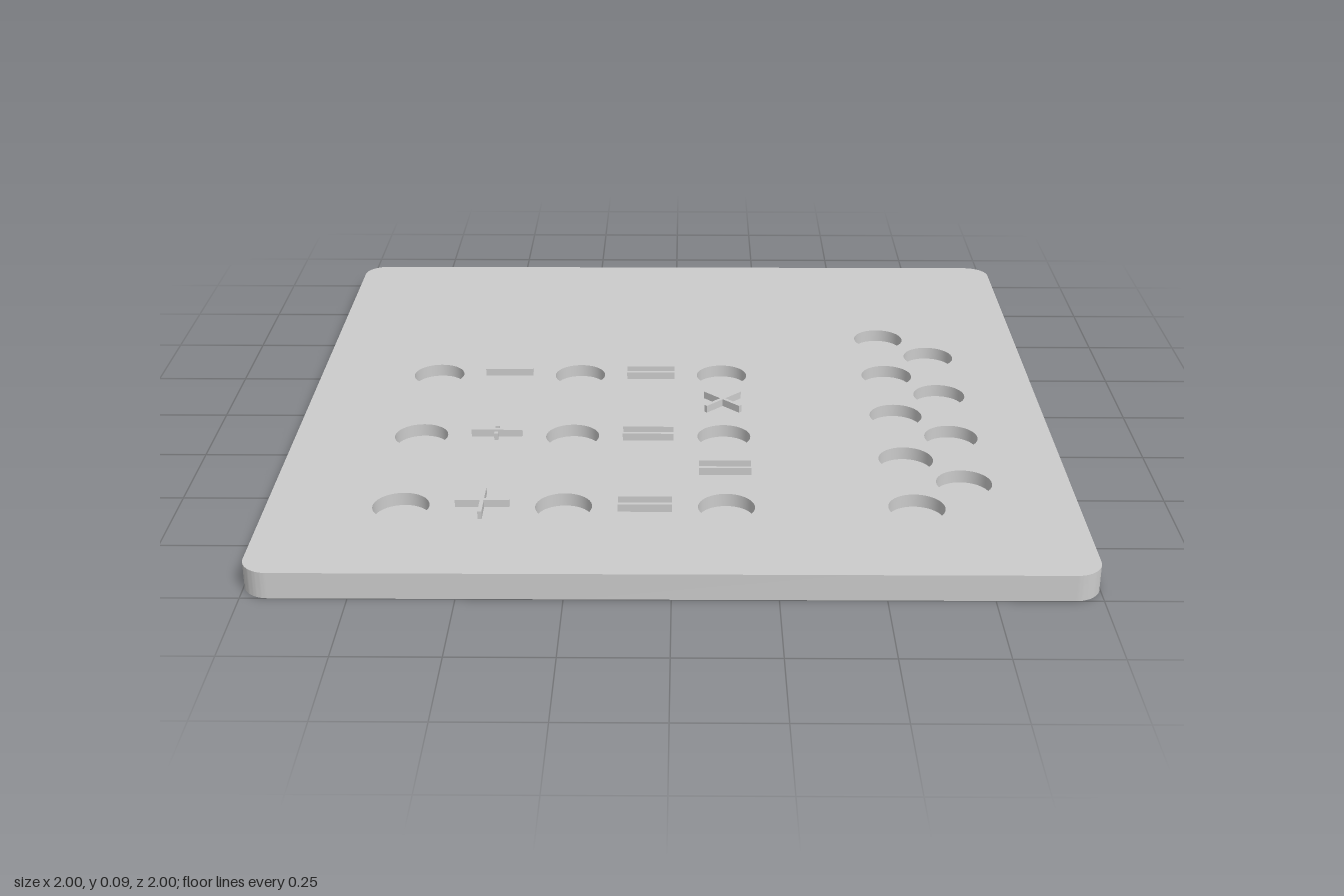
import * as THREE from 'three';
import { toCreasedNormals } from 'three/addons/utils/BufferGeometryUtils.js';

const TOP = 0.067;      // board thickness
const FLOOR = 0.033;    // height of the pocket floors
const RADIUS = 0.07;    // pocket radius
const BAR = { length: 0.133, width: 0.01, height: 0.02 };

const ROWS = [-0.133, 0.267, 0.667];
const POCKETS = [
  ...ROWS.flatMap((z) => [-0.667, -0.267, 0.133].map((x) => [x, z])),
  ...[-0.4, -0.133, 0.133, 0.4, 0.667].map((z) => [0.6, z]),
  ...[-0.267, 0, 0.267, 0.533].map((z) => [0.733, z]),
];

const material = new THREE.MeshStandardMaterial({ color: 0xcccccc });
const insideMaterial = new THREE.MeshStandardMaterial({ color: 0xcccccc, side: THREE.BackSide });

function addMesh(parent, name, geometry, x = 0, y = 0, z = 0, mat = material) {
  const mesh = new THREE.Mesh(geometry, mat);
  mesh.name = name;
  mesh.position.set(x, y, z);
  parent.add(mesh);
  return mesh;
}

// Square outline with rounded corners, counter-clockwise
function boardOutline(r = 0.067) {
  const s = new THREE.Shape();
  const c = 1 - r;
  s.moveTo(-c, -1);
  s.absarc(c, -c, r, -Math.PI / 2, 0);
  s.absarc(c, c, r, 0, Math.PI / 2);
  s.absarc(-c, c, r, Math.PI / 2, Math.PI);
  s.absarc(-c, -c, r, Math.PI, Math.PI * 1.5);
  return s;
}

// Upright wall following an outline
function wallGeometry(points, height) {
  const n = points.length;
  const geometry = new THREE.PlaneGeometry(1, 1, n, 1);
  const pos = geometry.attributes.position;
  for (let i = 0; i < pos.count; i++) {
    const p = points[(i % (n + 1)) % n];
    pos.setXYZ(i, p.x, i <= n ? height : 0, -p.y);
  }
  return toCreasedNormals(geometry, Math.PI / 6);
}

function createBoard() {
  const board = new THREE.Group();
  board.name = 'board';
  const outline = boardOutline();
  addMesh(board, 'boardEdge', wallGeometry(outline.getPoints(12), TOP));
  addMesh(board, 'boardUnderside', new THREE.ShapeGeometry(outline, 12).rotateX(Math.PI / 2));

  const face = boardOutline();
  for (const [x, z] of POCKETS) {
    face.holes.push(new THREE.Path().absarc(x, -z, RADIUS, 0, Math.PI * 2, true));
  }
  addMesh(board, 'boardFace', new THREE.ShapeGeometry(face, 24).rotateX(-Math.PI / 2), 0, TOP);

  // Round blind pockets
  const depth = TOP - FLOOR;
  const wall = new THREE.CylinderGeometry(RADIUS, RADIUS, depth, 48, 1, true);
  const floor = new THREE.CircleGeometry(RADIUS, 48).rotateX(-Math.PI / 2);
  for (const [x, z] of POCKETS) {
    addMesh(board, 'pocketWall', wall, x, FLOOR + depth / 2, z, insideMaterial);
    addMesh(board, 'pocketFloor', floor, x, FLOOR, z);
  }
  return board;
}

// Raised sign made of bars: [offsetZ, turn, length]
function createSign(name, x, z, bars) {
  const sign = new THREE.Group();
  sign.name = name;
  sign.position.set(x, TOP + BAR.height / 2, z);
  for (const [dz, turn, length] of bars) {
    const bar = addMesh(sign, 'bar', new THREE.BoxGeometry(length, BAR.height, BAR.width), 0, 0, dz);
    bar.rotation.y = turn;
  }
  return sign;
}

export function createModel() {
  const model = new THREE.Group();
  model.name = 'arithmeticBoard';
  model.add(createBoard());

  const L = BAR.length;
  const equals = [[-0.0215, 0, L], [0.0215, 0, L]];
  model.add(
    createSign('minusSign', -0.467, ROWS[0], [[0, 0, L]]),
    createSign('divideSign', -0.467, ROWS[1], [[0, 0, L], [-0.022, 0, 0.01], [0.022, 0, 0.01]]),
    createSign('plusSign', -0.467, ROWS[2], [[0, 0, L], [0, Math.PI / 2, L]]),
    createSign('timesSign', 0.133, 0.067, [[0, Math.PI / 4, L], [0, -Math.PI / 4, L]]),
    createSign('equalsSign', 0.133, 0.467, equals),
    ...ROWS.map((z) => createSign('equalsSign', -0.067, z, equals)),
  );
  return model;
}
